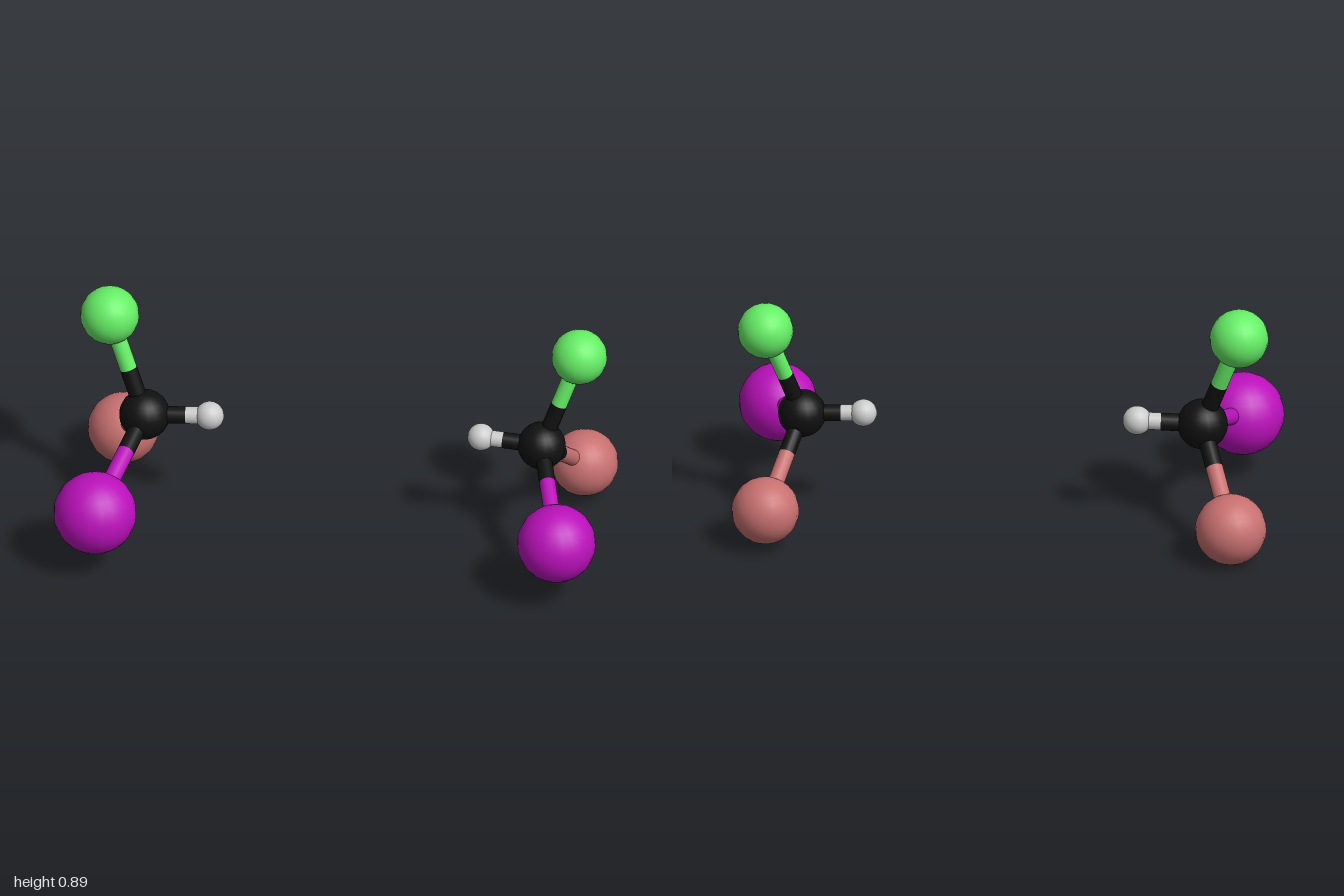
import * as THREE from 'three';

const COLORS = { carbon: 0x101010, green: 0x66ee66, brown: 0xc87070, purple: 0xbb11bb, grey: 0xcccccc };
const mats = {};
for (const k in COLORS) mats[k] = new THREE.MeshStandardMaterial({ color: COLORS[k] });

// Radii and centres of the balls, one entry per cluster
const CLUSTERS = [
  {
    name: 'rightCluster', bond: 0.032,
    core: { r: 0.093, p: [-0.728, 0.406, -0.07] },
    balls: [
      { kind: 'green', r: 0.108, p: [-0.866, 0.784, -0.135] },
      { kind: 'purple', r: 0.152, p: [-0.848, 0.247, 0.368] },
      { kind: 'brown', r: 0.131, p: [-0.852, 0.133, -0.389] },
      { kind: 'grey', r: 0.053, p: [-0.489, 0.417, -0.078] },
    ],
  },
  {
    name: 'leftCluster', bond: 0.03,
    core: { r: 0.088, p: [0.738, 0.406, -0.07] },
    balls: [
      { kind: 'green', r: 0.102, p: [0.868, 0.763, -0.133] },
      { kind: 'purple', r: 0.144, p: [0.852, 0.255, 0.343] },
      { kind: 'brown', r: 0.124, p: [0.853, 0.15, -0.371] },
      { kind: 'grey', r: 0.05, p: [0.513, 0.417, -0.078] },
    ],
  },
];

function ball(name, r, p, mat) {
  const m = new THREE.Mesh(new THREE.SphereGeometry(r, 20, 16), mat);
  m.position.copy(p);
  m.name = name;
  return m;
}

// Cylinder running from a to b
function rod(name, a, b, r, mat) {
  const d = b.clone().sub(a);
  const m = new THREE.Mesh(new THREE.CylinderGeometry(r, r, d.length(), 16), mat);
  m.position.copy(a).addScaledVector(d, 0.5);
  m.quaternion.setFromUnitVectors(new THREE.Vector3(0, 1, 0), d.normalize());
  m.name = name;
  return m;
}

export function createModel() {
  const model = new THREE.Group();
  model.name = 'moleculePair';
  for (const { name, bond, core, balls } of CLUSTERS) {
    const g = new THREE.Group();
    g.name = name;
    const c = new THREE.Vector3(...core.p);
    g.add(ball('coreBall', core.r, c, mats.carbon));
    for (const { kind, r, p } of balls) {
      const end = new THREE.Vector3(...p);
      // Two-colour bond, split in proportion to the ball radii
      const split = c.clone().lerp(end, core.r / (core.r + r));
      g.add(
        ball(kind + 'Ball', r, end, mats[kind]),
        rod(kind + 'BondInner', c, split, bond, mats.carbon),
        rod(kind + 'BondOuter', split, end, bond, mats[kind]),
      );
    }
    model.add(g);
  }
  return model;
}
